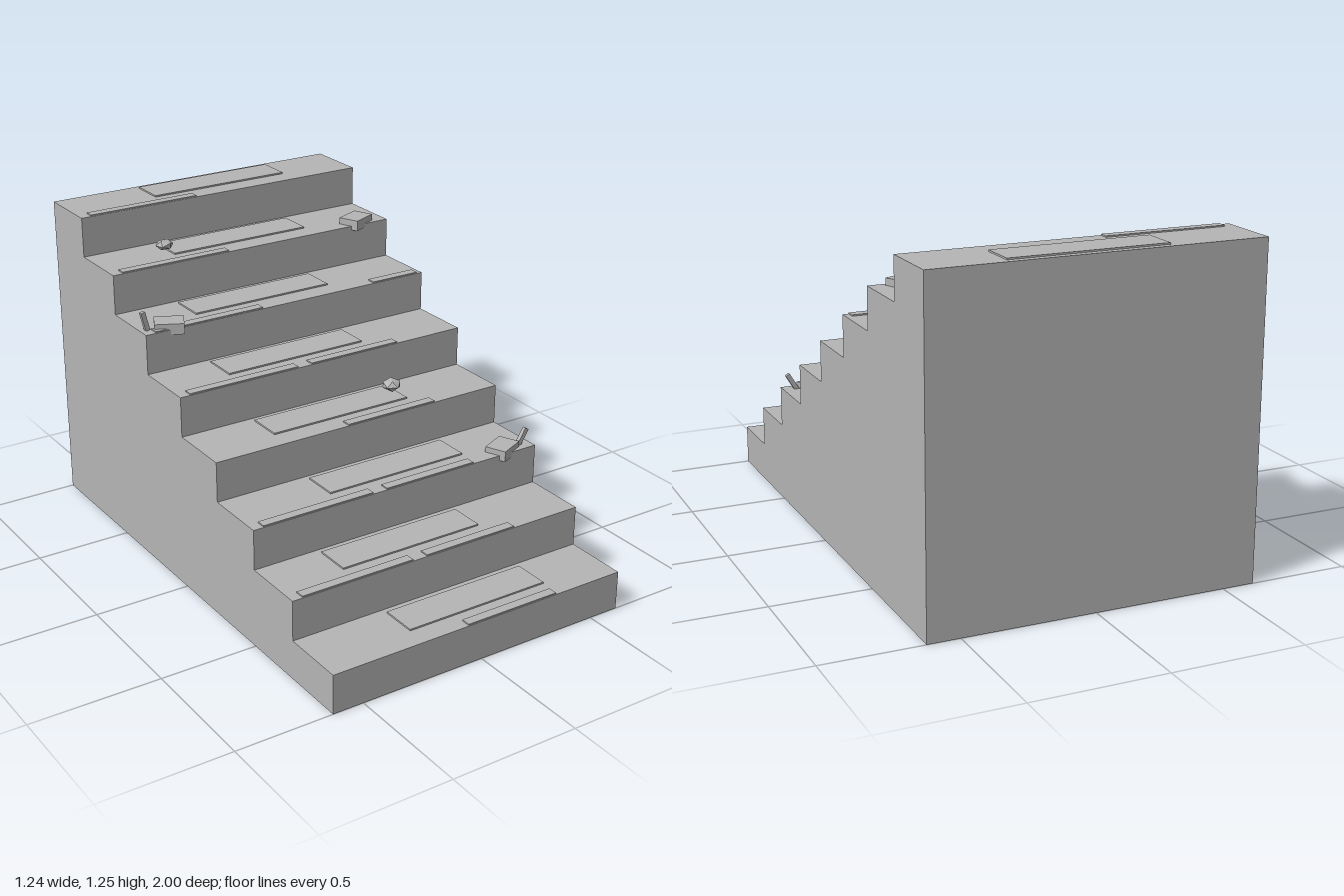
import * as THREE from 'three';

const STEPS = 8, RUN = 0.25, RISE = 0.156, HALF = 0.622;

// Tread height of step k (1 = lowest) and the z of its front lip
const treadY = (k) => RISE * k - 0.003;
const lipZ = (k) => 1 - RUN * (k - 1);

export function createModel() {
  const stone = new THREE.MeshStandardMaterial({ color: 0xb5b5b5, flatShading: true });
  stone.name = 'grey stone';
  const group = new THREE.Group();
  group.name = 'stoneStaircase';

  const add = (name, geometry, x, y, z) => {
    const mesh = new THREE.Mesh(geometry, stone);
    mesh.name = name;
    mesh.position.set(x, y, z);
    group.add(mesh);
    return mesh;
  };
  // Thin plate lying on a tread, between x0..x1 and z0..z1
  const plate = (name, k, x0, x1, z0, z1, t) =>
    add(name, new THREE.BoxGeometry(x1 - x0, t, z1 - z0), (x0 + x1) / 2, treadY(k) + t / 2, (z0 + z1) / 2);

  // Solid stair body: side profile extruded across the width
  const profile = new THREE.Shape();
  profile.moveTo(-1, 0);
  for (let k = 1; k <= STEPS; k++) {
    profile.lineTo(-lipZ(k), k > 1 ? treadY(k - 1) : 0);
    profile.lineTo(-lipZ(k), treadY(k));
  }
  profile.lineTo(1, treadY(STEPS));
  profile.lineTo(1, 0);
  const body = new THREE.ExtrudeGeometry(profile, { depth: HALF * 2, bevelEnabled: false });
  body.translate(0, 0, -HALF);
  body.rotateY(Math.PI / 2);
  add('stairBody', body, 0, 0, 0);

  // Worn slab on each tread, shifted sideways from step to step
  const slabLeft = [-0.25, -0.36, -0.25, -0.33, -0.37, -0.365, -0.315, -0.26];
  slabLeft.forEach((x, i) => {
    const k = i + 1, lip = lipZ(k);
    plate('wornSlab', k, x, x + 0.59, lip - 0.225, lip - 0.085, 0.006);
  });

  // Narrow nosing strips along the lips
  const nosing = (k, x0, x1) => plate('nosingStrip', k, x0, x1, lipZ(k) - 0.04, lipZ(k) - 0.003, 0.005);
  for (const k of [2, 3, 5, 6, 7, 8]) nosing(k, -0.58, -0.12);
  for (const k of [1, 2, 3, 4, 5]) nosing(k, -0.06, 0.33);
  nosing(6, 0.39, 0.6);

  // Broken blocks overhanging the lips
  const blocks = [
    [0.495, 0.466, 0.46, 0.42],
    [-0.505, 0.935, -0.29, -0.46],
    [0.495, 1.094, -0.537, 0.42],
  ];
  for (const [x, y, z, turn] of blocks) {
    add('brokenBlock', new THREE.BoxGeometry(0.112, 0.042, 0.085), x, y, z).rotation.y = turn;
  }

  // Leaning splinters beside two of the blocks
  const splinters = [
    [0.587, 0.493, 0.46, -0.54],
    [-0.602, 0.97, -0.297, 0.24],
  ];
  for (const [x, y, z, lean] of splinters) {
    add('splinter', new THREE.BoxGeometry(0.018, 0.075, 0.016), x, y, z).rotation.z = lean;
  }

  // Faceted pebbles
  const pebbles = [
    [-0.335, 1.121, -0.63, 0.038, 0.4],
    [0.248, 0.652, 0.08, 0.044, 1.1],
  ];
  for (const [x, y, z, r, turn] of pebbles) {
    const pebble = add('pebble', new THREE.IcosahedronGeometry(r, 0), x, y, z);
    pebble.scale.set(1, 0.54, 0.9);
    pebble.rotation.y = turn;
  }

  return group;
}
